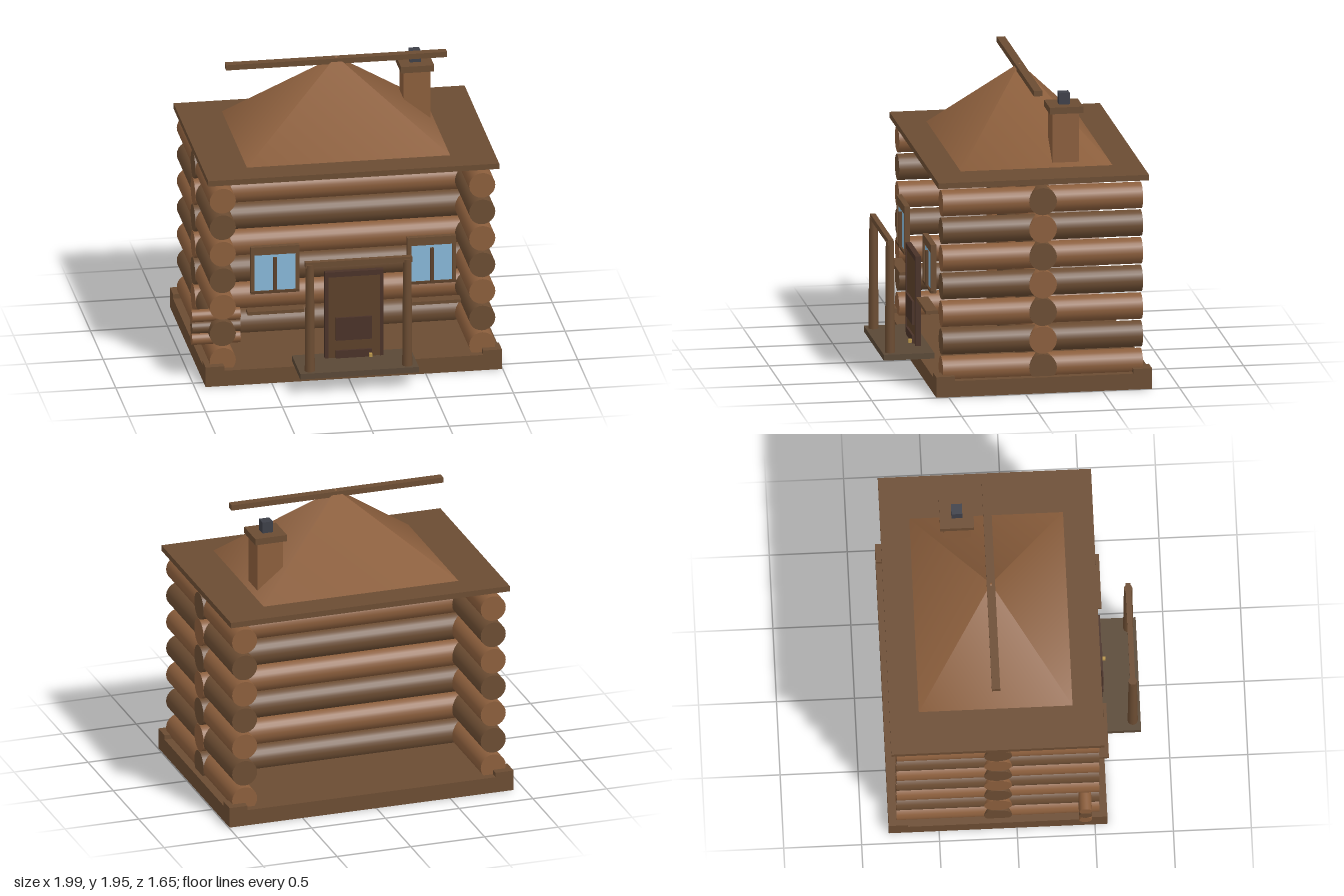
import * as THREE from 'three';

const mat = (color) => new THREE.MeshStandardMaterial({ color });
const DARK = mat(0x6b4c32), LIGHT = mat(0x8b5e3c), DOOR = mat(0x5c4029), TRIM = mat(0x4a3228);
const PORCH = mat(0x5a4836), GLASS = mat(0x87b8d8), METAL = mat(0x3d3f48), BRASS = mat(0xb8954a);

export function createModel() {
  const root = new THREE.Group();
  root.name = 'logCabin';

  const add = (parent, name, geometry, material) => {
    const mesh = new THREE.Mesh(geometry, material);
    mesh.name = name;
    parent.add(mesh);
    return mesh;
  };
  // Box given by its lower and upper limits on each axis
  const box = (parent, name, material, x0, x1, y0, y1, z0, z1) => {
    const mesh = add(parent, name, new THREE.BoxGeometry(x1 - x0, y1 - y0, z1 - z0), material);
    mesh.position.set((x0 + x1) / 2, (y0 + y1) / 2, (z0 + z1) / 2);
    return mesh;
  };
  // Round log lying along the x or z axis
  const log = (parent, name, material, axis, radius, length, x, y, z) => {
    const geometry = new THREE.CylinderGeometry(radius, radius, length, 24);
    if (axis === 'x') geometry.rotateZ(Math.PI / 2);
    else geometry.rotateX(Math.PI / 2);
    add(parent, name, geometry, material).position.set(x, y, z);
  };
  const group = (name) => {
    const g = new THREE.Group();
    g.name = name;
    root.add(g);
    return g;
  };

  // Foundation slab with raised corner blocks
  const foundation = group('foundation');
  box(foundation, 'baseSlab', DARK, -0.93, 0.995, 0, 0.105, -0.823, 0.58);
  for (const x of [-0.93, 0.873]) {
    for (const z of [-0.823, 0.458]) {
      box(foundation, 'cornerBlock', DARK, x, x + 0.122, 0, 0.135, z, z + 0.122);
    }
  }

  // Log walls: two side stacks and one cross wall, alternating in tone
  const walls = group('walls');
  for (let i = 0; i < 7; i++) {
    const y = 0.16 + i * 0.183;
    const [cross, side] = i % 2 ? [LIGHT, DARK] : [DARK, LIGHT];
    log(walls, 'crossLog', cross, 'x', 0.09, 1.858, 0.032, y, -0.12);
    for (const x of [-0.81, 0.875]) log(walls, 'sideLog', side, 'z', 0.085, 1.3, x, y - 0.003, -0.12);
  }

  // Roof: eave slab, smooth-shaded pyramid and ridge beam
  const roof = group('roof');
  box(roof, 'eaveSlab', DARK, -0.91, 0.98, 1.375, 1.412, -0.805, 0.563);
  const pyramid = new THREE.ConeGeometry(Math.SQRT1_2, 0.535, 4);
  pyramid.rotateY(Math.PI / 4).scale(1.325, 1, 0.99);
  add(roof, 'roofPyramid', pyramid, LIGHT).position.set(0.033, 1.6775, -0.123);
  box(roof, 'ridgeBeam', DARK, -0.685, 0.75, 1.902, 1.938, -0.15, -0.096);

  // Chimney
  const chimney = group('chimney');
  box(chimney, 'chimneyStack', LIGHT, 0.49, 0.663, 1.435, 1.765, -0.405, -0.23);
  box(chimney, 'chimneyCap', DARK, 0.47, 0.685, 1.762, 1.805, -0.428, -0.21);
  box(chimney, 'chimneyFlue', METAL, 0.54, 0.61, 1.805, 1.88, -0.353, -0.283);

  // Windows with mullion, bottom rail and shelf
  for (const x of [-0.476, 0.542]) {
    const win = group('window');
    const h = 0.158, g = 0.133;
    box(win, 'windowBack', DARK, x - h, x + h, 0.615, 0.935, 0.53, 0.548);
    box(win, 'windowGlass', GLASS, x - g, x + g, 0.63, 0.88, 0.545, 0.556);
    box(win, 'frameTop', DARK, x - h, x + h, 0.88, 0.935, 0.53, 0.565);
    box(win, 'frameBottom', DOOR, x - h, x + h, 0.615, 0.632, 0.53, 0.568);
    for (const s of [-1, 1]) {
      const a = x + s * g, b = x + s * h;
      box(win, 'frameSide', DARK, Math.min(a, b), Math.max(a, b), 0.63, 0.882, 0.53, 0.565);
    }
    box(win, 'mullion', DOOR, x - 0.012, x + 0.012, 0.625, 0.86, 0.55, 0.575);
    box(win, 'windowShelf', DARK, x - 0.184, x + 0.184, 0.485, 0.507, 0.525, 0.602);
  }

  // Door with frame, panels and knob
  const door = group('door');
  box(door, 'doorFrameTop', TRIM, -0.155, 0.225, 0.705, 0.74, 0.55, 0.585);
  box(door, 'doorFrameLeft', TRIM, 0.202, 0.225, 0.12, 0.71, 0.55, 0.585);
  box(door, 'doorFrameRight', TRIM, -0.155, -0.132, 0.12, 0.71, 0.55, 0.585);
  box(door, 'doorLeaf', DOOR, -0.135, 0.205, 0.12, 0.707, 0.552, 0.58);
  box(door, 'upperPanel', TRIM, -0.085, 0.15, 0.27, 0.425, 0.575, 0.594);
  box(door, 'lowerPanel', TRIM, -0.085, 0.15, 0.045, 0.2, 0.575, 0.594);
  box(door, 'doorKnob', BRASS, 0.128, 0.148, 0.152, 0.174, 0.58, 0.617);

  // Porch deck, tapered posts and rail
  const porch = group('porch');
  box(porch, 'porchDeck', PORCH, -0.355, 0.415, 0.11, 0.148, 0.495, 0.823);
  for (const x of [-0.285, 0.348]) {
    const post = new THREE.CylinderGeometry(0.027, 0.033, 0.735, 16);
    add(porch, 'porchPost', post, DARK).position.set(x, 0.512, 0.772);
  }
  box(porch, 'porchBeam', DARK, -0.315, 0.378, 0.862, 0.898, 0.755, 0.789);

  // Firewood stacked on the right side
  const firewood = group('firewood');
  for (let i = 0; i < 3; i++) {
    log(firewood, 'firewoodLog', i === 1 ? DARK : LIGHT, 'x', 0.041, 0.315, -0.842, 0.282 + i * 0.078, 0.437);
  }

  return root;
}
